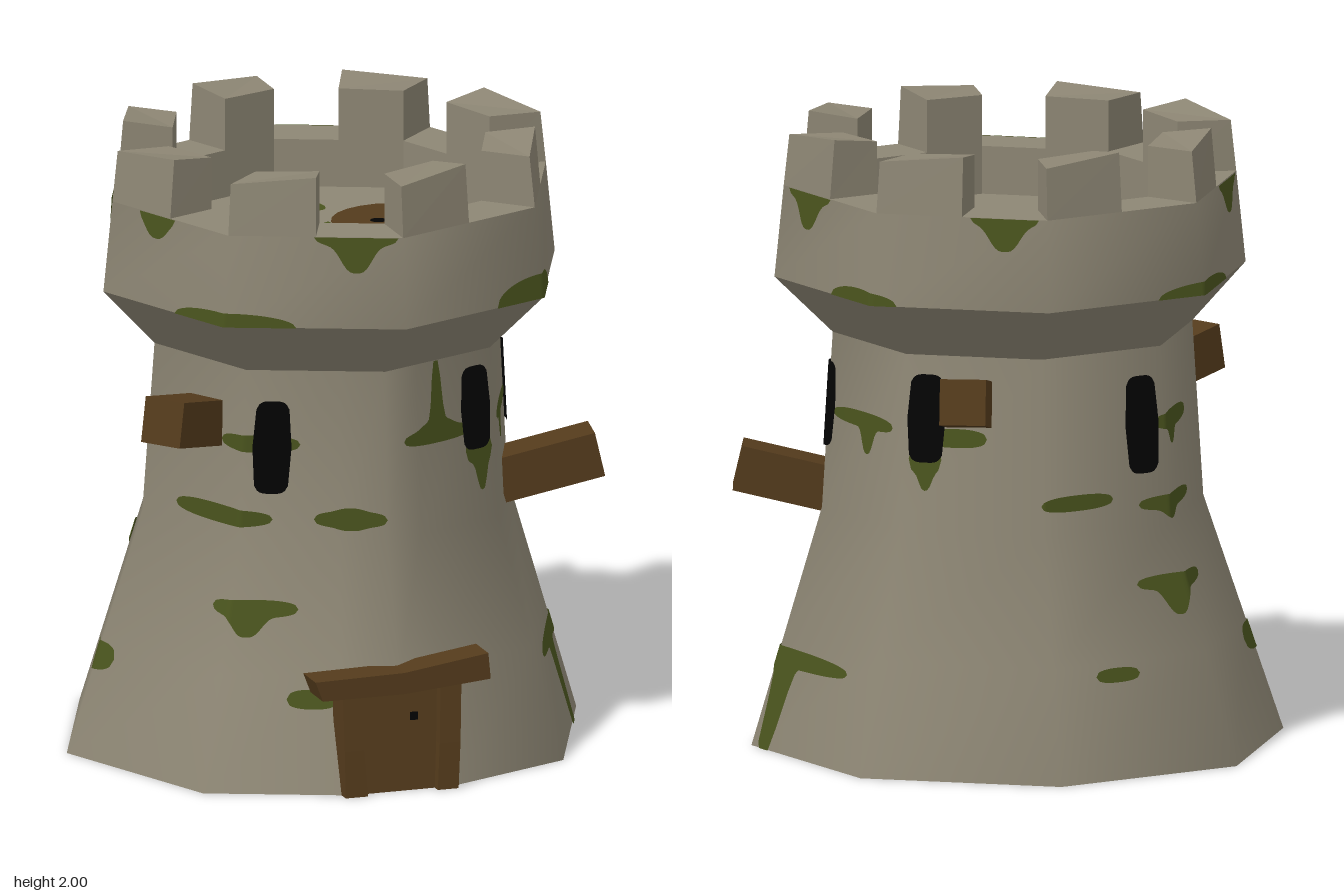
import * as THREE from 'three';

const mat = (name, color) => {
  const m = new THREE.MeshStandardMaterial({ color, side: THREE.DoubleSide });
  m.name = name;
  return m;
};

// Octagonal rings: t runs 0..8 round the tower, 0 = front, 2 = left (+x), 4 = back
const ring = (y, cx, cz, rx, rz = rx) => ({ y, cx, cz, rx, rz });
const WALL = [ring(0, -0.022, 0.025, 0.858, 0.845), ring(0.77, -0.003, 0.003, 0.615, 0.607), ring(1.33, -0.008, 0.035, 0.58, 0.567)];
const PARAPET = [ring(1.515, 0, 0.035, 0.76, 0.745), ring(1.81, 0, 0.036, 0.73, 0.718)];
const TOP_OUT = ring(1.99, 0, 0.035, 0.712, 0.7);
const IN_HIGH = ring(1.81, 0, 0.035, 0.54, 0.535);
const FLOOR_Y = 1.655;

const corner = (r, k, off = 0) => {
  const a = k * Math.PI / 4;
  return new THREE.Vector3(r.cx + (r.rx + off) * Math.sin(a), r.y, r.cz + (r.rz + off) * Math.cos(a));
};
const onRing = (r, t, off = 0) => {
  const k = Math.floor(t);
  return corner(r, k, off).lerp(corner(r, k + 1, off), t - k);
};
// Point on a banded surface at height y
const onBand = (rings, t, y, off) => {
  let i = 0;
  while (i < rings.length - 2 && y > rings[i + 1].y) i++;
  const f = (y - rings[i].y) / (rings[i + 1].y - rings[i].y);
  return onRing(rings[i], t, off).lerp(onRing(rings[i + 1], t, off), f);
};

const fromGrid = (points, index) => {
  const g = new THREE.BufferGeometry().setFromPoints(points);
  g.setIndex(index);
  return g;
};
// Skin stretched over rings, with optional extra columns and left-out cells
const loft = (rings, { flat = false, cols = [0, 1, 2, 3, 4, 5, 6, 7], skip = () => false } = {}) => {
  const pts = [], idx = [], n = cols.length;
  rings.forEach((r, i) => {
    for (let k = 0; k < n; k++) {
      pts.push(onRing(r, cols[k]));
      if (i === rings.length - 1 || skip(i, k)) continue;
      const a = i * n + k, b = i * n + (k + 1) % n;
      idx.push(a, b, b + n, a, b + n, a + n);
    }
  });
  let g = fromGrid(pts, idx);
  if (flat) g = g.toNonIndexed();
  g.computeVertexNormals();
  return g;
};
// Six-sided block: four bottom corners then four top, counter-clockwise from above
const block = (c) => {
  const idx = [3, 2, 1, 3, 1, 0, 4, 5, 6, 4, 6, 7];
  for (let i = 0; i < 4; i++) {
    const j = (i + 1) % 4;
    idx.push(i, j, j + 4, i, j + 4, i + 4);
  }
  const g = fromGrid(c, idx).toNonIndexed();
  g.computeVertexNormals();
  return g;
};
// Thin patch draped on a band: rounded outline plus drips [t, depth, width]
const drape = (rings, t0, t1, y0, y1, power, drips, off) => {
  const n = 2 * Math.ceil((t1 - t0) / 0.04), rows = 4, pts = [], idx = [];
  const lo = rings[0].y, hi = rings[rings.length - 1].y;
  for (let i = 0; i <= n; i++) {
    const s = 2 * i / n - 1, t = t0 + (t1 - t0) * i / n;
    const h = Math.pow(Math.max(0, 1 - Math.pow(Math.abs(s), power)), 1 / power) * (y1 - y0) / 2;
    let bottom = (y0 + y1) / 2 - h, top = (y0 + y1) / 2 + h;
    for (const [dt, depth, w] of drips) {
      const d = depth * Math.exp(-Math.pow(Math.abs((t - dt) / w), 3));
      if (depth > 0) bottom -= d; else top -= d;
    }
    for (let j = 0; j <= rows; j++) {
      const y = THREE.MathUtils.clamp(bottom + (top - bottom) * j / rows, lo, hi);
      pts.push(onBand(rings, t, y, off));
      if (i < n && j < rows) {
        const a = i * (rows + 1) + j, b = a + rows + 1;
        idx.push(a, b, b + 1, a, b + 1, a + 1);
      }
    }
  }
  const g = fromGrid(pts, idx);
  g.computeVertexNormals();
  return g;
};

export function createModel() {
  const stone = mat('stone', 0x8d8674), moss = mat('moss', 0x49531d);
  const wood = mat('wood', 0x543b1c), black = mat('black', 0x030303);
  const tower = new THREE.Group();
  tower.name = 'tower';
  const add = (name, geometry, material) => {
    const m = new THREE.Mesh(geometry, material);
    m.name = name;
    tower.add(m);
    return m;
  };

  // Stone body, open underneath, with a doorway in front
  const f = 0.36 / WALL[1].y, mix = (key) => THREE.MathUtils.lerp(WALL[0][key], WALL[1][key], f);
  const doorTop = ring(0.36, mix('cx'), mix('cz'), mix('rx'), mix('rz'));
  const cols = [0, 0.3, 1, 2, 3, 4, 5, 6, 7, 7.68];
  add('wall', loft([WALL[0], doorTop, WALL[1], WALL[2]], { cols, skip: (i, k) => i === 0 && (k === 0 || k === 9) }), stone);
  add('collar', loft([WALL[2], PARAPET[0]]), stone);
  add('parapet', loft(PARAPET), stone);
  const inLow = { ...IN_HIGH, y: FLOOR_Y };
  add('parapetInside', loft([PARAPET[1], IN_HIGH, inLow], { flat: true }), stone);
  add('roofFloor', loft([inLow, ring(FLOOR_Y, 0, 0.035, 0)], { flat: true }), stone);

  // Merlons, one on the first half of every side
  const inTop = { ...IN_HIGH, y: 1.98 };
  for (let k = 0; k < 8; k++) {
    const quad = (o, i) => [onRing(o, k), onRing(o, k + 0.5), onRing(i, k + 0.5), onRing(i, k)];
    const top = quad(TOP_OUT, inTop);
    top[0].y = top[3].y = 1.975;
    top[1].y = 2;
    add('merlon', block([...quad(PARAPET[1], IN_HIGH), ...top]), stone);
  }

  // Slit windows: [t, bottom, top]
  for (const [t, y0, y1] of [[0.82, 1.01, 1.285], [1.99, 0.97, 1.24], [3.17, 0.99, 1.27], [4.8, 0.935, 1.245], [7.205, 0.925, 1.23]])
    for (const off of [0.009, -0.009])
      add('window', drape(WALL, t - 0.135, t + 0.135, y0, y1, 4, [], off), black);

  // Moss on the wall: t range, y range, drips
  const wallMoss = [
    [6.85, 7.42, 0.535, 0.59, [[7.12, 0.06, 0.1]]],
    [6.35, 7.22, 0.81, 0.87, []],
    [7.5, 8.0, 0.815, 0.87, [[7.75, 0.01, 0.1], [7.75, -0.01, 0.1]]],
    [0.16, 0.78, 1.06, 1.11, [[0.47, -0.22, 0.05], [0.47, -0.03, 0.15]]],
    [0.72, 0.96, 0.96, 1.06, [[0.86, 0.09, 0.05]]],
    [1.15, 1.9, 1.06, 1.11, [[1.42, 0.08, 0.08]]],
    [2.1, 2.87, 1.06, 1.11, [[2.55, 0.08, 0.08]]],
    [3.15, 3.6, 1.04, 1.1, []],
    [3.05, 3.28, 0.95, 1.05, [[3.17, 0.05, 0.05]]],
    [1.25, 2.72, 0.265, 0.325, [[1.7, 0.4, 0.07], [2.12, 0.4, 0.07]]],
    [7.38, 7.66, 0.26, 0.32, []],
    [6.78, 7.4, 1.06, 1.115, []],
    [4.9, 5.55, 1.06, 1.12, [[5.15, 0.05, 0.08]]],
    [3.98, 4.55, 0.84, 0.89, []],
    [4.75, 5.5, 0.81, 0.86, [[5.05, 0.03, 0.1]]],
    [4.64, 5.3, 0.565, 0.615, [[4.9, 0.08, 0.09]]],
    [4.27, 4.55, 0.3, 0.345, []],
    [5.8, 6.15, 0.27, 0.36, []],
  ];
  for (const [t0, t1, y0, y1, drips] of wallMoss)
    for (const off of [0.006, -0.006]) add('wallMoss', drape(WALL, t0, t1, y0, y1, 2.5, drips, off), moss);

  // Moss along the lower and upper rims of the parapet
  for (const [t0, t1, h] of [[0.66, 1.32, 0.08], [2.6, 3.15, 0.045], [4.7, 5.5, 0.045], [6.6, 7.4, 0.045]])
    add('rimMoss', drape(PARAPET, t0, t1, 1.515 - h, 1.515 + h, 2, [], 0.006), moss);
  for (const [t, w, drip] of [[2.3, 0.22, 0.08], [3.75, 0.2, 0.07], [5.72, 0.2, 0.07], [6.4, 0.15, 0.04], [7.73, 0.24, 0.08]])
    add('rimMoss', drape(PARAPET, t - w, t + w, 1.775, 1.845, 2, [[t, drip, 0.1]], 0.006), moss);

  // Trapdoor and moss lying on the roof floor
  const lay = (name, geometry, material, x, z, lift) => {
    const m = add(name, geometry.rotateX(-Math.PI / 2), material);
    m.position.set(x, FLOOR_Y + lift, z);
  };
  lay('trapdoor', new THREE.CircleGeometry(0.207, 24), wood, 0.225, 0.035, 0.006);
  lay('trapdoorRing', new THREE.CircleGeometry(0.028, 8), black, 0.17, 0.025, 0.009);
  const blob = (pts) => new THREE.ShapeGeometry(new THREE.Shape(
    new THREE.SplineCurve([...pts, pts[0]].map(([x, z]) => new THREE.Vector2(x, -z))).getPoints(40)));
  lay('roofMoss', blob([[0.02, -0.03], [0.02, 0.06], [-0.06, 0.08], [-0.18, 0.12], [-0.24, 0.21], [-0.29, 0.19],
    [-0.24, 0.12], [-0.27, 0.05], [-0.25, -0.01], [-0.2, 0.05], [-0.1, 0.04]]), moss, 0, 0, 0.004);
  lay('roofMoss', new THREE.CircleGeometry(0.04, 12).scale(0.75, 1.2, 1), moss, 0.04, -0.21, 0.004);

  // Square beams poking out of the wall
  const beams = [
    [[0.515, 0.805, 0.106], [0.855, 0.885, 0.167]],
    [[0.2, 1.165, -0.4], [0.278, 1.235, -0.71]],
    [[-0.45, 1.12, 0.235], [-0.695, 1.178, 0.422]],
  ];
  for (const [from, to] of beams) {
    const a = new THREE.Vector3(...from), b = new THREE.Vector3(...to);
    const m = add('beam', new THREE.BoxGeometry(0.147, 0.147, a.distanceTo(b)), wood);
    m.position.copy(a).lerp(b, 0.5);
    m.lookAt(b);
  }

  // Door: leaning panel and posts; each level is [left x, right x, back z, front z]
  const slab = (name, y0, [l0, r0, b0, f0], y1, [l1, r1, b1, f1], material) => {
    const level = (y, l, r, b, f) => [[l, f], [r, f], [r, b], [l, b]].map(([x, z]) => new THREE.Vector3(x, y, z));
    add(name, block([...level(y0, l0, r0, b0, f0), ...level(y1, l1, r1, b1, f1)]), material);
  };
  slab('doorPanel', 0, [-0.17, 0.12, 0.755, 0.8], 0.34, [-0.17, 0.12, 0.715, 0.765], wood);
  for (const [l0, r0, l1, r1, l2, r2] of [[-0.22, -0.145, -0.22, -0.155, -0.22, -0.145], [0.09, 0.16, 0.1, 0.17, 0.11, 0.18]]) {
    slab('doorPost', 0, [l0, r0, 0.735, 0.83], 0.15, [l1, r1, 0.715, 0.82], wood);
    slab('doorPost', 0.15, [l1, r1, 0.715, 0.82], 0.35, [l2, r2, 0.7, 0.8], wood);
  }
  slab('doorKnob', 0.225, [0.015, 0.04, 0.76, 0.783], 0.25, [0.015, 0.04, 0.76, 0.78], black);

  // Bent lintel
  const outline = [[-0.295, 0.325], [-0.02, 0.325], [0.27, 0.35], [0.262, 0.435], [-0.02, 0.395], [-0.32, 0.39]];
  const lintel = new THREE.ExtrudeGeometry(new THREE.Shape(outline.map((p) => new THREE.Vector2(...p))),
    { depth: 0.12, bevelEnabled: false });
  add('lintel', lintel, wood).position.z = 0.705;

  return tower;
}
